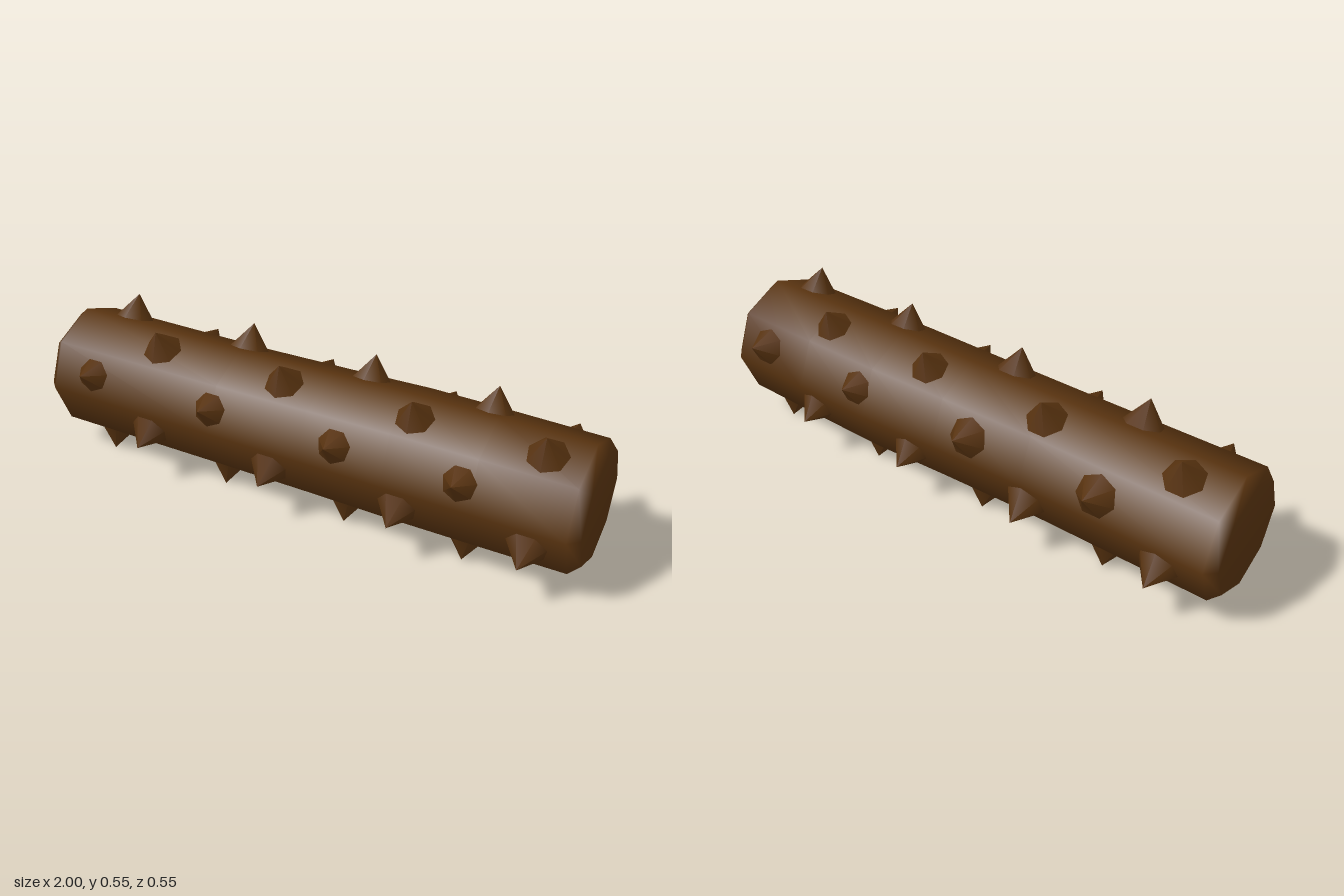
import * as THREE from 'three';

const SIDES = 8, CENTRE_Y = 0.273;

// Octagonal log along x, slightly uneven, with bevelled ends
function logGeometry() {
  // x, radius, extra bulge on the back and on the top/bottom
  const rings = [
    [-1, 0.19, 0, 0], [-0.965, 0.224, 0, 0], [-0.3, 0.224, -0.008, 0],
    [0.05, 0.224, 0.002, 0.003], [0.35, 0.225, 0.014, 0.006],
    [0.65, 0.225, 0.008, 0.004], [0.965, 0.225, 0, 0], [1, 0.19, 0, 0],
  ];
  const pos = [], index = [];
  for (const [x, r, back, tall] of rings) {
    for (let j = 0; j < SIDES; j++) {
      const a = (j / SIDES) * Math.PI * 2, c = Math.cos(a), s = Math.sin(a);
      pos.push(x, s * (r + tall), c * (r + (c < -0.01 ? back : 0)));
    }
  }
  const last = (rings.length - 1) * SIDES, capA = rings.length * SIDES, capB = capA + 1;
  pos.push(-1, 0, 0, 1, 0, 0);
  for (let j = 0; j < SIDES; j++) {
    const k = (j + 1) % SIDES;
    for (let o = 0; o < last; o += SIDES) {
      const n = o + SIDES;
      index.push(o + j, n + j, o + k, n + j, n + k, o + k);
    }
    index.push(capA, j, k, capB, last + k, last + j);
  }
  const g = new THREE.BufferGeometry();
  g.setAttribute('position', new THREE.Float32BufferAttribute(pos, 3));
  g.setIndex(index);
  g.computeVertexNormals();
  return g;
}

export function createModel() {
  const model = new THREE.Group();
  model.name = 'spikedLog';
  const bark = new THREE.MeshStandardMaterial({ color: 0x57320f });
  bark.name = 'darkBrownBark';

  const log = new THREE.Mesh(logGeometry(), bark);
  log.name = 'log';
  log.position.y = CENTRE_Y;
  model.add(log);

  // Spikes: one row per face, neighbouring rows staggered
  const rows = [[-0.805, -0.31, 0.168, 0.605], [-0.572, -0.078, 0.4, 0.838]];
  const base = 0.2, tip = 0.295;
  const cone = new THREE.ConeGeometry(0.075, tip - base, 7);
  cone.translate(0, (base + tip) / 2, 0);
  const spikes = new THREE.Group();
  spikes.name = 'spikes';
  spikes.position.y = CENTRE_Y;
  for (let f = 0; f < SIDES; f++) {
    const a = ((f + 0.5) / SIDES) * Math.PI * 2;
    for (const x of rows[f % 2]) {
      const spike = new THREE.Mesh(cone, bark);
      spike.name = 'spike';
      spike.position.x = x;
      spike.rotation.x = Math.PI / 2 - a;
      // The upper front row sits a little deeper
      if (f === 0) spike.scale.set(0.93, 0.97, 0.93);
      spikes.add(spike);
    }
  }
  model.add(spikes);
  return model;
}
